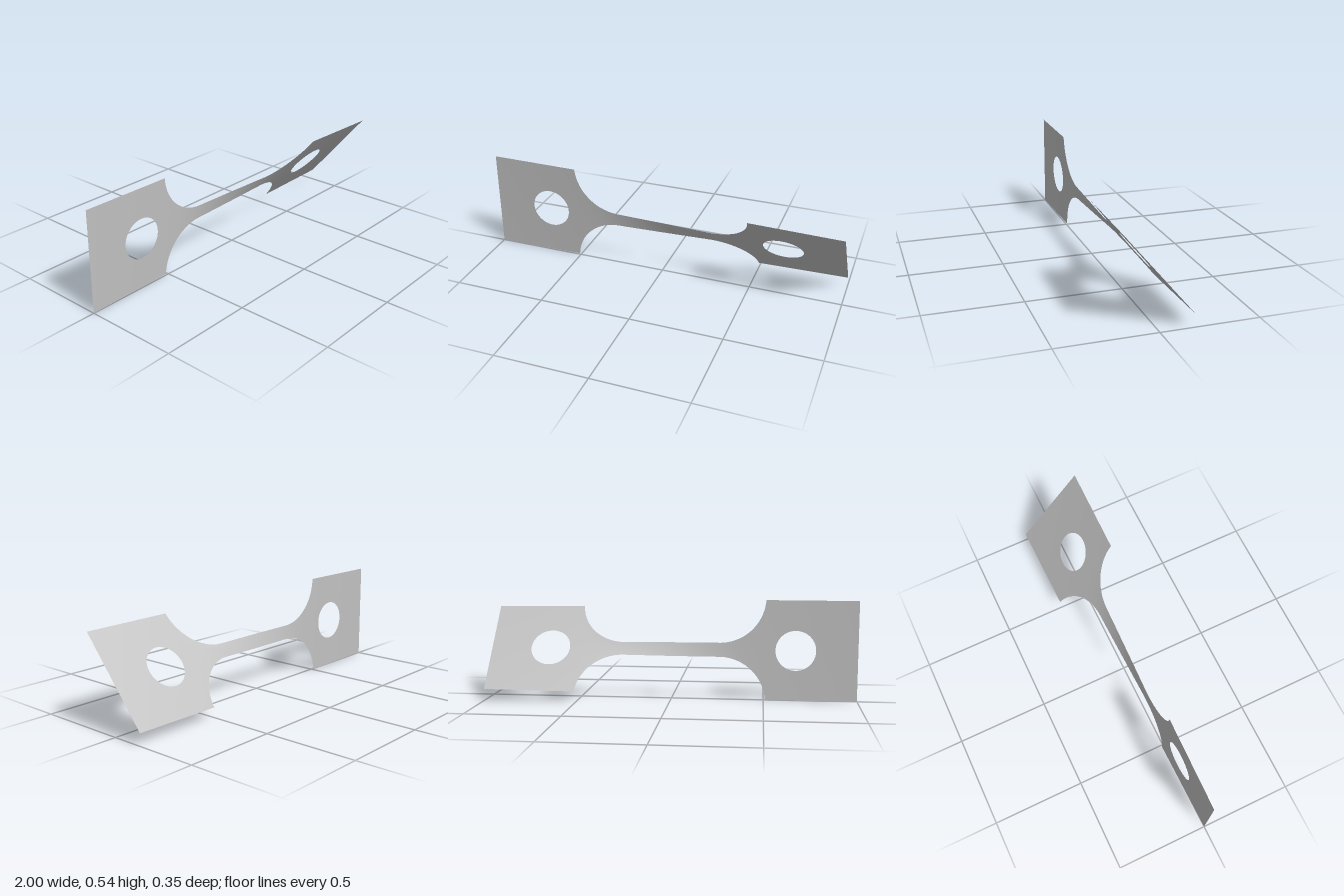
import * as THREE from 'three';

const HALF = 0.271;        // half height of the end plates
const NECK = 0.038;        // half height of the neck
const FILLET = 0.25;       // fillet radius
const NECK_END = 0.26;     // where the neck meets the fillets
const HOLE_X = 0.67, HOLE_R = 0.108;
const TWIST = THREE.MathUtils.degToRad(40);
const PLATE = NECK_END + Math.sqrt(FILLET ** 2 - (NECK + FILLET - HALF) ** 2);

// Half height of the flat outline at x
function outline(x) {
  const u = Math.abs(x) - NECK_END;
  if (u <= 0) return NECK;
  if (Math.abs(x) >= PLATE) return HALF;
  return NECK + FILLET - Math.sqrt(FILLET ** 2 - u * u);
}

// Half height of the hole at x
function hole(x) {
  const u = Math.abs(x) - HOLE_X;
  return Math.sqrt(Math.max(0, HOLE_R ** 2 - u * u));
}

// The slender neck takes most of the twist, the wide plates hardly any
const STEPS = 1000, turn = [0];
for (let i = 0; i < STEPS; i++) {
  turn.push(turn[i] + outline(-1 + (2 * (i + 0.5)) / STEPS) ** -1.3);
}
function angle(x) {
  const t = THREE.MathUtils.clamp(((x + 1) / 2) * STEPS, 0, STEPS);
  const i = Math.min(Math.floor(t), STEPS - 1);
  return (TWIST * THREE.MathUtils.lerp(turn[i], turn[i + 1], t - i)) / turn[STEPS];
}

// Stations along x, closer together at the ends of the hole and fillet
function stations() {
  const xs = [];
  const span = (a, b, n) => {
    for (let i = 0; i < n; i++) xs.push(a + ((b - a) * (1 - Math.cos((Math.PI * i) / n))) / 2);
  };
  span(0, NECK_END, 20);
  span(NECK_END, PLATE, 24);
  span(PLATE, HOLE_X - HOLE_R, 4);
  span(HOLE_X - HOLE_R, HOLE_X + HOLE_R, 40);
  span(HOLE_X + HOLE_R, 1, 8);
  xs.push(1);
  return [...xs.slice(1).reverse().map((x) => -x), ...xs];
}

// One sheet made of an upper and a lower band, open where the hole is
function twistedSheet() {
  const xs = stations(), rows = 6, positions = [], normals = [], indices = [];
  for (const side of [-1, 1]) {
    const base = positions.length / 3;
    xs.forEach((x, i) => {
      const a = angle(x), e = 0.004;
      const rate = (angle(x + e) - angle(x - e)) / (Math.min(1, x + e) - Math.max(-1, x - e));
      for (let j = 0; j <= rows; j++) {
        const v = side * THREE.MathUtils.lerp(hole(x), outline(x), j / rows);
        positions.push(x, HALF + v * Math.cos(a), v * Math.sin(a));
        const n = new THREE.Vector3(-v * rate, -Math.sin(a), Math.cos(a)).normalize();
        normals.push(n.x, n.y, n.z);
        if (i === 0 || j === 0) continue;
        const d = base + i * (rows + 1) + j, c = d - 1, b = d - rows - 1, p = b - 1;
        if (side > 0) indices.push(p, c, d, p, d, b);
        else indices.push(p, d, c, p, b, d);
      }
    });
  }
  const geometry = new THREE.BufferGeometry();
  geometry.setAttribute('position', new THREE.Float32BufferAttribute(positions, 3));
  geometry.setAttribute('normal', new THREE.Float32BufferAttribute(normals, 3));
  geometry.setIndex(indices);
  return geometry;
}

export function createModel() {
  const grey = new THREE.MeshStandardMaterial({ color: 0xc0c0c0, side: THREE.DoubleSide });
  grey.name = 'light grey';
  const sheet = new THREE.Mesh(twistedSheet(), grey);
  sheet.name = 'twistedSpecimen';
  const group = new THREE.Group();
  group.name = 'twistedTestStrip';
  group.add(sheet);
  return group;
}
